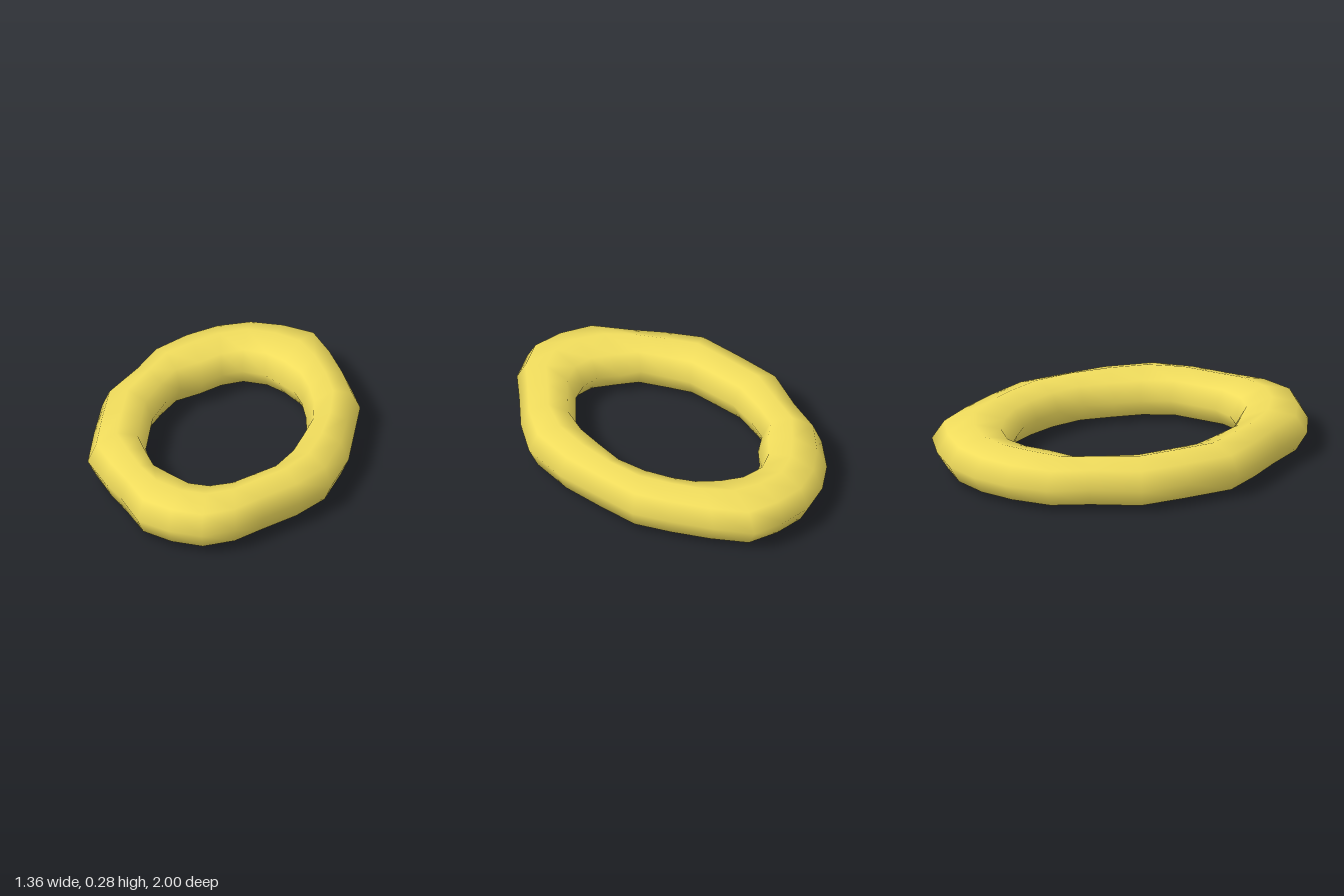
import * as THREE from 'three';

// Stations round the ring: outer x, outer z, inner x, inner z
const STATIONS = [
  [0.03, -1.0, 0.02, -0.61], [0.21, -0.99, 0.14, -0.59], [0.39, -0.94, 0.23, -0.52],
  [0.5, -0.75, 0.32, -0.44], [0.6, -0.54, 0.37, -0.34], [0.68, -0.34, 0.41, -0.2],
  [0.68, -0.08, 0.43, -0.05], [0.68, 0.17, 0.39, 0.11], [0.62, 0.44, 0.36, 0.24],
  [0.48, 0.62, 0.3, 0.39], [0.3, 0.79, 0.2, 0.48], [0.17, 0.92, 0.11, 0.56],
  [0, 1.0, 0, 0.6], [-0.18, 0.97, -0.1, 0.59], [-0.35, 0.89, -0.2, 0.51],
  [-0.46, 0.69, -0.29, 0.46], [-0.57, 0.54, -0.35, 0.31], [-0.68, 0.35, -0.39, 0.2],
  [-0.68, 0.07, -0.39, 0.05], [-0.67, -0.2, -0.39, -0.1], [-0.54, -0.45, -0.34, -0.27],
  [-0.46, -0.66, -0.28, -0.4], [-0.31, -0.83, -0.17, -0.47], [-0.15, -0.94, -0.08, -0.56],
];
const SIDES = 8;
const MID_Y = 0.145;
const HALF_HEIGHT = 0.14;

// Closed tube with an eight-sided section spanning the outer and inner outline
function ringGeometry() {
  const positions = [];
  const indices = [];
  const count = STATIONS.length;
  STATIONS.forEach(([ox, oz, ix, iz], i) => {
    const next = (i + 1) % count;
    for (let j = 0; j < SIDES; j++) {
      const angle = (j / SIDES) * Math.PI * 2;
      const t = (1 - Math.cos(angle)) / 2; // 0 = outer edge, 1 = inner edge
      positions.push(
        THREE.MathUtils.lerp(ox, ix, t),
        MID_Y + HALF_HEIGHT * Math.sin(angle),
        THREE.MathUtils.lerp(oz, iz, t),
      );
      const k = (j + 1) % SIDES;
      const a = i * SIDES + j, b = i * SIDES + k;
      const c = next * SIDES + k, d = next * SIDES + j;
      indices.push(a, b, c, a, c, d);
    }
  });
  const geometry = new THREE.BufferGeometry();
  geometry.setAttribute('position', new THREE.Float32BufferAttribute(positions, 3));
  geometry.setIndex(indices);
  geometry.computeVertexNormals();
  return geometry;
}

export function createModel() {
  const group = new THREE.Group();
  group.name = 'ovalRing';
  const ring = new THREE.Mesh(ringGeometry(), new THREE.MeshStandardMaterial({ color: 0xf0dc5c }));
  ring.name = 'ring';
  group.add(ring);
  return group;
}
